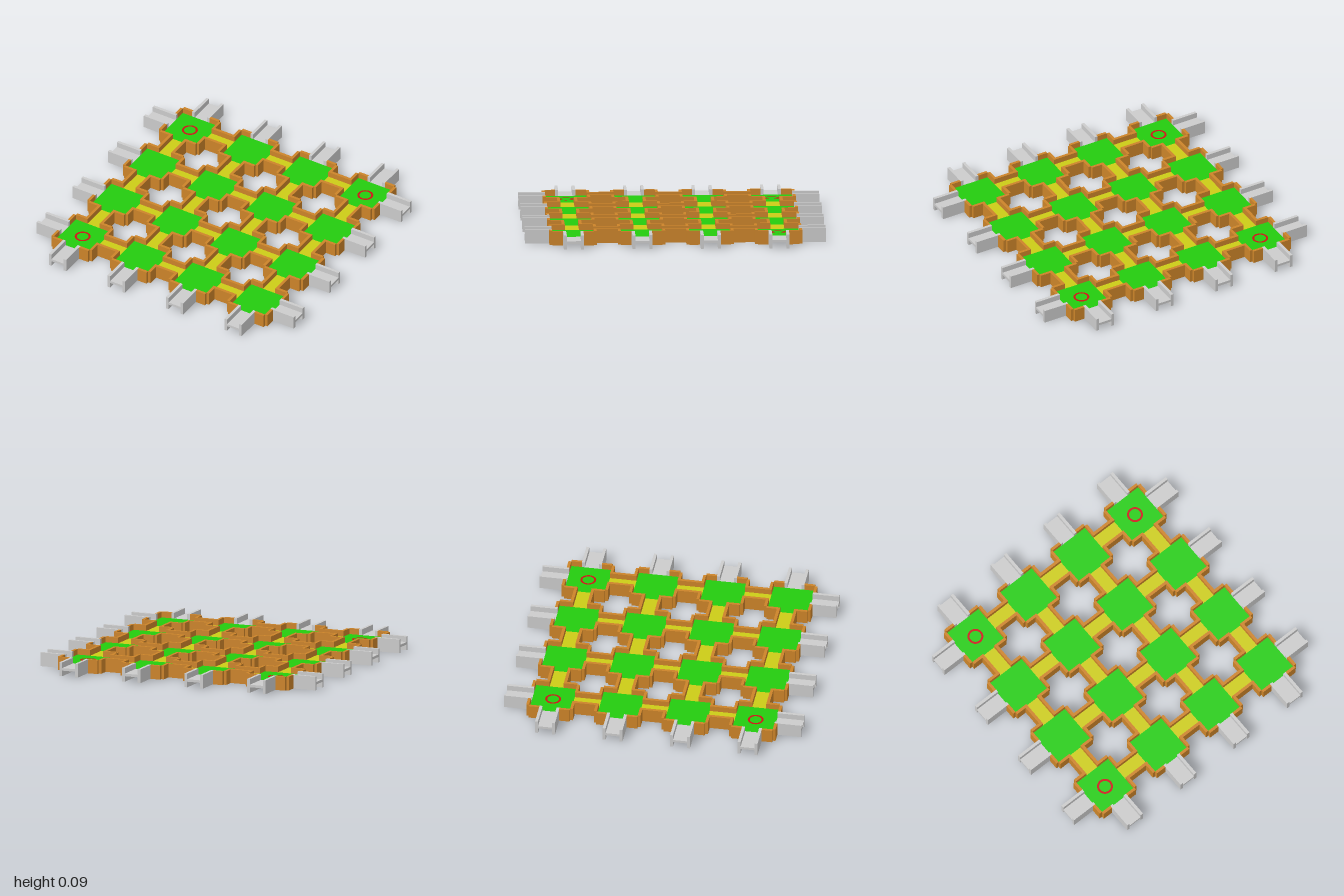
import * as THREE from 'three';

const H = 0.093;          // wall height
const MID = H / 2;        // height of the plates and webs
const WEB = 0.017;        // plate thickness
const IN = 0.047, OUT = 0.067; // inner and outer faces of the channel walls
const PLATE = 0.138;      // half width of a node plate
const LIP = 0.157;        // outer face of the node walls
const NODES = [-0.682, -0.227, 0.227, 0.682];

const mat = (color) => new THREE.MeshStandardMaterial({ color });
const grey = mat(0xcccccc), green = mat(0x24cc0e), yellow = mat(0xcccc17);
const orange = mat(0xcc8429);
const red = new THREE.MeshStandardMaterial({ color: 0xcc1414, side: THREE.DoubleSide });

// Box given by its plan rectangle, at mid height
function slab(parent, name, material, x0, x1, z0, z1, height) {
  const mesh = new THREE.Mesh(new THREE.BoxGeometry(x1 - x0, height, z1 - z0), material);
  mesh.position.set((x0 + x1) / 2, MID, (z0 + z1) / 2);
  mesh.name = name;
  parent.add(mesh);
}

// H-section channel running along x from a to b
function channel(name, a, b, webMaterial, wallMaterial) {
  const g = new THREE.Group();
  g.name = name;
  slab(g, 'web', webMaterial, a, b, -IN, IN, WEB);
  slab(g, 'wall', wallMaterial, a, b, IN, OUT, H);
  slab(g, 'wall', wallMaterial, a, b, -OUT, -IN, H);
  return g;
}

// Square plate with two short walls on each side, open at the channels
function node(x, z) {
  const g = new THREE.Group();
  g.name = 'node';
  slab(g, 'nodePlate', green, -PLATE, PLATE, -PLATE, PLATE, WEB);
  for (let i = 0; i < 4; i++) {
    const side = new THREE.Group();
    side.name = 'nodeSide';
    side.rotation.y = i * Math.PI / 2;
    slab(side, 'nodeWall', orange, PLATE, LIP, OUT, PLATE, H);
    slab(side, 'nodeWall', orange, PLATE, LIP, -PLATE, -OUT, H);
    g.add(side);
  }
  g.position.set(x, 0, z);
  return g;
}

export function createModel() {
  const model = new THREE.Group();
  model.name = 'channelGrid';

  // Nodes
  for (const x of NODES) for (const z of NODES) model.add(node(x, z));

  // Rows along x, then the same rows turned to run along z
  for (const turn of [0, Math.PI / 2]) {
    const rows = new THREE.Group();
    rows.name = turn ? 'lengthwiseChannels' : 'crosswiseChannels';
    rows.rotation.y = turn;
    for (const z of NODES) {
      const parts = [
        channel('endChannel', -1, NODES[0] - PLATE, grey, grey),
        channel('endChannel', NODES[3] + PLATE, 1, grey, grey),
      ];
      for (let i = 0; i < 3; i++) {
        parts.push(channel('linkChannel', NODES[i] + PLATE, NODES[i + 1] - PLATE, yellow, orange));
      }
      for (const p of parts) {
        p.position.z = z;
        rows.add(p);
      }
    }
    model.add(rows);
  }

  // Ring marks on three corner plates
  for (const [i, j] of [[0, 0], [3, 0], [0, 3]]) {
    const ring = new THREE.Mesh(new THREE.RingGeometry(0.039, 0.053, 32), red);
    ring.name = 'ringMark';
    ring.rotation.x = -Math.PI / 2;
    ring.position.set(NODES[i], MID + WEB / 2 + 0.002, NODES[j]);
    model.add(ring);
  }
  return model;
}
